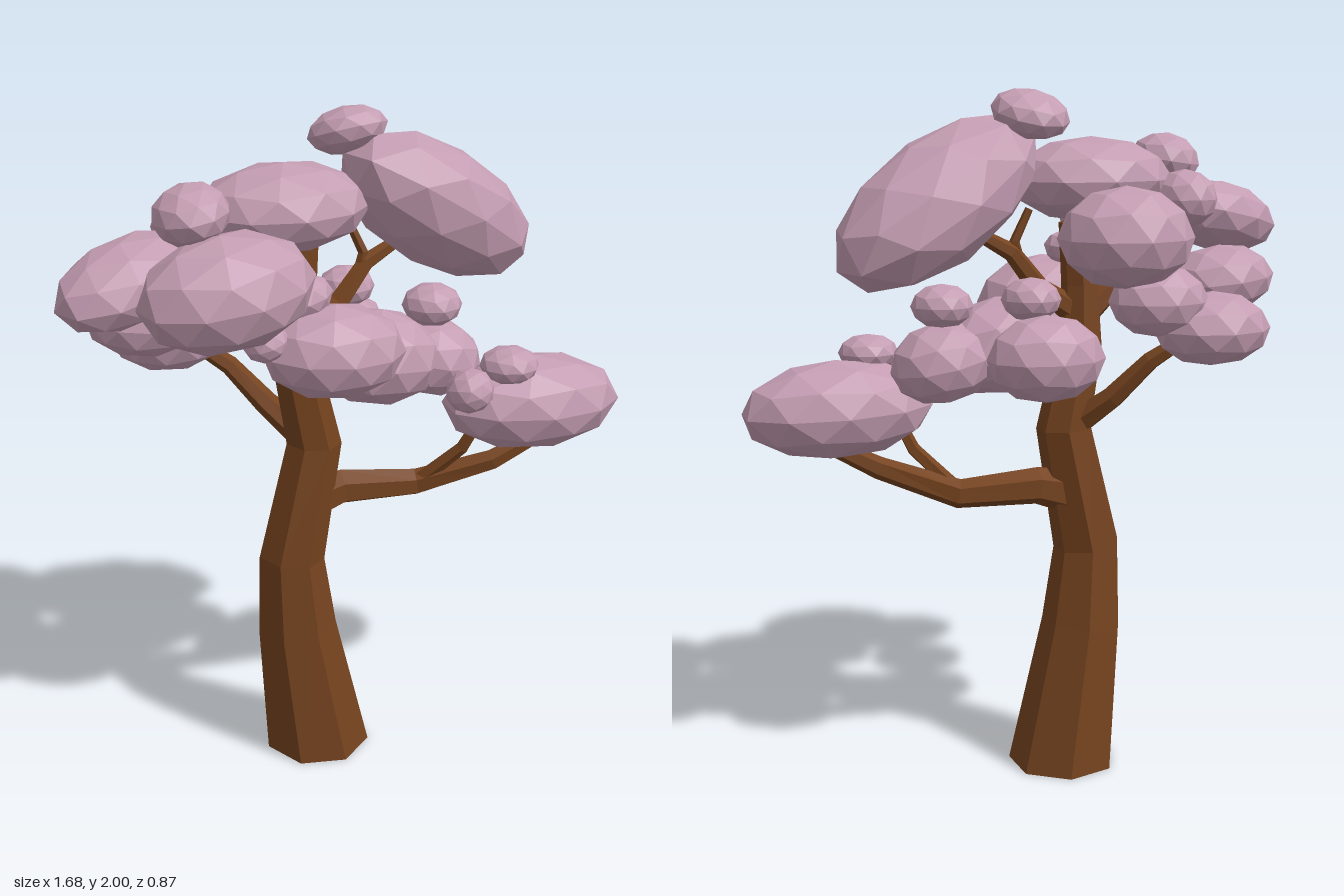
import * as THREE from 'three';

const bark = new THREE.MeshStandardMaterial({ color: 0x75431f, flatShading: true });
bark.name = 'brown bark';
const blossom = new THREE.MeshStandardMaterial({ color: 0xc49db2, flatShading: true });
blossom.name = 'dusty pink blossom';

// Tapered limb swept through [x, y, z, radius] points, with capped ends
function limb(name, points, sides) {
  const centres = points.map(p => new THREE.Vector3(p[0], p[1], p[2]));
  const ref = new THREE.Vector3(0, 0, 1);
  const pos = [], index = [], last = points.length - 1;
  centres.forEach((c, j) => {
    const t = centres[Math.min(j + 1, last)].clone().sub(centres[Math.max(j - 1, 0)]).normalize();
    if (c.y === 0) t.set(0, 1, 0); // flat on the ground
    const u = ref.clone().cross(t).normalize();
    const v = t.clone().cross(u);
    for (let i = 0; i < sides; i++) {
      const a = (i / sides) * Math.PI * 2;
      const p = c.clone().addScaledVector(u, Math.cos(a) * points[j][3]).addScaledVector(v, Math.sin(a) * points[j][3]);
      pos.push(p.x, p.y, p.z);
    }
  });
  for (let j = 0; j < last; j++) {
    for (let i = 0; i < sides; i++) {
      const a = j * sides + i, b = j * sides + (i + 1) % sides;
      index.push(a, b, b + sides, a, b + sides, a + sides);
    }
  }
  for (let i = 1; i < sides - 1; i++) {
    const e = last * sides;
    index.push(0, i + 1, i, e, e + i, e + i + 1);
  }
  const geo = new THREE.BufferGeometry();
  geo.setAttribute('position', new THREE.Float32BufferAttribute(pos, 3));
  geo.setIndex(index);
  geo.computeVertexNormals();
  const mesh = new THREE.Mesh(geo, bark);
  mesh.name = name;
  return mesh;
}

// Faceted ball turned so that one corner points straight up
const puffGeometry = new THREE.IcosahedronGeometry(1, 1);
puffGeometry.rotateZ(Math.atan(2 / (1 + Math.sqrt(5))));

// Faceted ellipsoid: centre, half sizes, yaw, tilt and roll
function puff(name, [x, y, z], [rx, ry, rz], yaw = 0, tilt = 0, roll = 0) {
  const mesh = new THREE.Mesh(puffGeometry, blossom);
  mesh.name = name;
  mesh.position.set(x, y, z);
  mesh.scale.set(rx * 1.05, ry * 1.01, rz * 1.01);
  mesh.rotation.set(roll, yaw, tilt, 'YZX');
  return mesh;
}

export function createModel() {
  const tree = new THREE.Group();
  tree.name = 'tree';

  // Trunk and branches
  const wood = new THREE.Group();
  wood.name = 'wood';
  wood.add(
    limb('trunk', [
      [-0.072, 0, -0.045, 0.162], [-0.137, 0.43, -0.042, 0.121], [-0.153, 0.67, -0.037, 0.1],
      [-0.08, 1.03, -0.035, 0.083], [-0.13, 1.27, -0.03, 0.07], [-0.13, 1.45, -0.03, 0.055],
      [-0.11, 1.63, -0.03, 0.045]], 7),
    limb('lowerRightBranch', [
      [-0.13, 0.83, -0.04, 0.07], [0.01, 0.865, -0.04, 0.055], [0.24, 0.855, -0.01, 0.043],
      [0.45, 0.93, 0.08, 0.033], [0.64, 1.03, 0.12, 0.022]], 6),
    limb('lowerRightTwig', [
      [0.24, 0.86, 0.0, 0.025], [0.35, 0.98, 0.07, 0.02], [0.43, 1.16, 0.12, 0.014]], 5),
    limb('backLeftBranch', [
      [-0.1, 1.04, -0.05, 0.045], [-0.19, 1.13, -0.13, 0.035], [-0.28, 1.24, -0.19, 0.028],
      [-0.43, 1.35, -0.26, 0.018]], 6),
    limb('upperLeftBranch', [
      [-0.13, 1.35, -0.03, 0.045], [-0.25, 1.45, -0.02, 0.036], [-0.38, 1.49, 0.02, 0.03],
      [-0.56, 1.59, 0.07, 0.02]], 6),
    limb('upperRightBranch', [
      [-0.13, 1.36, -0.03, 0.04], [0.0, 1.44, -0.04, 0.032], [0.09, 1.55, -0.05, 0.026],
      [0.2, 1.61, -0.05, 0.018]], 6),
    limb('upperRightTwig', [
      [0.06, 1.5, -0.05, 0.018], [0.08, 1.58, -0.05, 0.015], [0.04, 1.67, -0.06, 0.012]], 5));
  tree.add(wood);

  // Crown of blossom clouds
  const crown = new THREE.Group();
  crown.name = 'crown';
  crown.add(
    puff('topRightCloud', [0.3, 1.695, -0.035], [0.34, 0.17, 0.205], 0.27, -0.56),
    puff('topMiddleCloud', [-0.17, 1.745, -0.01], [0.235, 0.12, 0.18]),
    puff('crestPuff', [0.03, 1.93, -0.045], [0.108, 0.065, 0.11], 0, 0.12, -0.3),
    puff('frontLeftCloud', [-0.42, 1.61, 0.25], [0.235, 0.15, 0.185], 0.2, 0.1),
    puff('farLeftCloud', [-0.635, 1.62, 0.09], [0.215, 0.105, 0.15], 0.45, 0.22),
    puff('upperLeftPuff', [-0.475, 1.79, 0.135], [0.1, 0.08, 0.13], -0.3, 0.15),
    puff('backCloud', [-0.16, 1.6, -0.275], [0.185, 0.14, 0.165]),
    puff('upperBackPuff', [-0.42, 1.69, -0.11], [0.09, 0.083, 0.1]),
    puff('leftCloud', [-0.56, 1.45, -0.08], [0.155, 0.1, 0.13], 0, -0.1),
    puff('backLeftCloud', [-0.435, 1.335, -0.265], [0.165, 0.105, 0.14]),
    puff('innerBackCloud', [-0.27, 1.42, -0.26], [0.14, 0.1, 0.115]),
    puff('frontMiddleCloud', [-0.1, 1.385, 0.18], [0.195, 0.13, 0.155], 0, -0.05),
    puff('middleRightCloud', [0.1, 1.28, 0.0], [0.19, 0.14, 0.155], 0, -0.15),
    puff('backRightCloud', [0.075, 1.28, -0.275], [0.16, 0.12, 0.125]),
    puff('rightCloud', [0.29, 1.245, -0.03], [0.145, 0.115, 0.135], 0, -0.2),
    puff('farRightCloud', [0.565, 1.11, 0.09], [0.265, 0.14, 0.168], -0.05, -0.03),
    puff('rightPuff', [0.29, 1.405, -0.03], [0.085, 0.062, 0.085]),
    puff('backRightPuff', [0.09, 1.435, -0.2], [0.08, 0.06, 0.08]),
    puff('lowRightPuff', [0.325, 1.2, 0.165], [0.068, 0.063, 0.07], 0, 0.3),
    puff('lowFarRightPuff', [0.455, 1.257, 0.15], [0.083, 0.053, 0.085]),
    puff('frontLeftPuff', [-0.3, 1.44, 0.2], [0.06, 0.05, 0.06], 0, 0.3),
    puff('innerPuff', [-0.18, 1.53, 0.13], [0.09, 0.06, 0.08], 0, 0.2));
  tree.add(crown);
  return tree;
}
